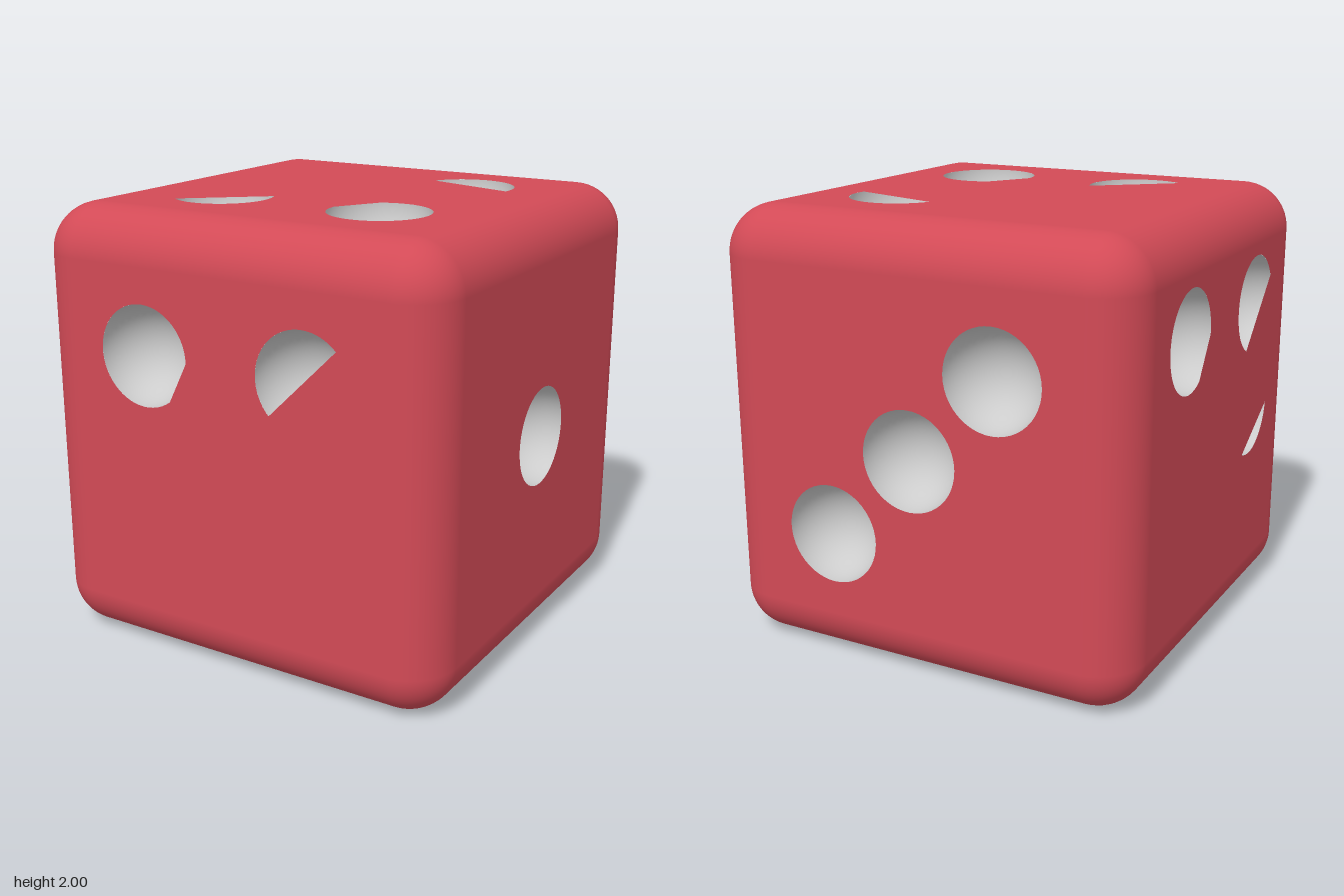
import * as THREE from 'three';
import { RoundedBoxGeometry } from 'three/addons/geometries/RoundedBoxGeometry.js';

const EDGE = 0.22; // rounding of edges and corners
const PIP = 0.225; // radius of each pip
const DEG = Math.PI / 180;

// Pips per face: [u, v, arc start, arc end] in face coordinates (u right, v up, seen from outside).
// An arc shorter than a full turn is a pip partly closed off by a straight chord.
const FACES = [
  { name: 'front', rot: [0, 0], pips: [[-0.4, 0.4, 0, 306], [0.4, 0.4, 45, 224]] },
  { name: 'back', rot: [0, 180], pips: [[-0.4, -0.4], [0, 0], [0.4, 0.4]] },
  { name: 'left', rot: [0, 90], pips: [[0, 0]] },
  { name: 'right', rot: [0, -90], pips: [[-0.4, 0.5, -4, 303 - 4], [0.4, 0.5, 26, 245], [0.4, 0, -112, -7]] },
  { name: 'top', rot: [-90, 0], pips: [[0.4, 0.4, -10, 157], [-0.4, -0.4, -127, 27], [0.4, -0.4, 180, 479]] },
  { name: 'bottom', rot: [90, 0], pips: [[0.4, -0.4], [-0.4, 0.4]] },
];

// Rounded cube with its six flat squares left open for the pierced panels
function roundedShell() {
  const box = new RoundedBoxGeometry(2, 2, 2, 8, EDGE);
  const src = box.index ? box.toNonIndexed() : box;
  const p = src.attributes.position.array;
  const n = src.attributes.normal.array;
  const pos = [], nor = [];
  for (let i = 0; i < p.length; i += 9) {
    const flat = [0, 1, 2].some((axis) => [0, 3, 6].every((k) => Math.abs(p[i + k + axis]) > 0.9999));
    if (flat) continue;
    pos.push(...p.slice(i, i + 9));
    nor.push(...n.slice(i, i + 9));
  }
  const geo = new THREE.BufferGeometry();
  geo.setAttribute('position', new THREE.Float32BufferAttribute(pos, 3));
  geo.setAttribute('normal', new THREE.Float32BufferAttribute(nor, 3));
  return geo;
}

// Flat square with a hole for each pip
function panelGeometry(pips) {
  const h = 1 - EDGE;
  const shape = new THREE.Shape();
  shape.moveTo(-h, -h).lineTo(h, -h).lineTo(h, h).lineTo(-h, h).closePath();
  for (const [u, v, from = 0, to = 360] of pips) {
    const hole = new THREE.Path();
    hole.absarc(u, v, PIP, from * DEG, to * DEG, false);
    hole.closePath();
    shape.holes.push(hole);
  }
  return new THREE.ShapeGeometry(shape, 24);
}

export function createModel() {
  const red = new THREE.MeshStandardMaterial({ color: 0xd24a56 });
  const grey = new THREE.MeshStandardMaterial({ color: 0xcccccc, side: THREE.BackSide });

  const die = new THREE.Group();
  die.name = 'die';
  die.position.y = 1;

  const shell = new THREE.Mesh(roundedShell(), red);
  shell.name = 'roundedEdges';
  die.add(shell);

  // Hemispherical bowl opening towards +z
  const bowl = new THREE.SphereGeometry(PIP, 48, 16, 0, Math.PI * 2, 0, Math.PI / 2);
  bowl.rotateX(-Math.PI / 2);

  for (const { name, rot, pips } of FACES) {
    const face = new THREE.Group();
    face.name = name + 'Face';
    face.rotation.set(rot[0] * DEG, rot[1] * DEG, 0);

    const panel = new THREE.Mesh(panelGeometry(pips), red);
    panel.name = name + 'Panel';
    panel.position.z = 1;
    face.add(panel);

    for (const [u, v] of pips) {
      const pip = new THREE.Mesh(bowl, grey);
      pip.name = name + 'Pip';
      pip.position.set(u, v, 1);
      face.add(pip);
    }
    die.add(face);
  }

  const model = new THREE.Group();
  model.name = 'model';
  model.add(die);
  return model;
}
